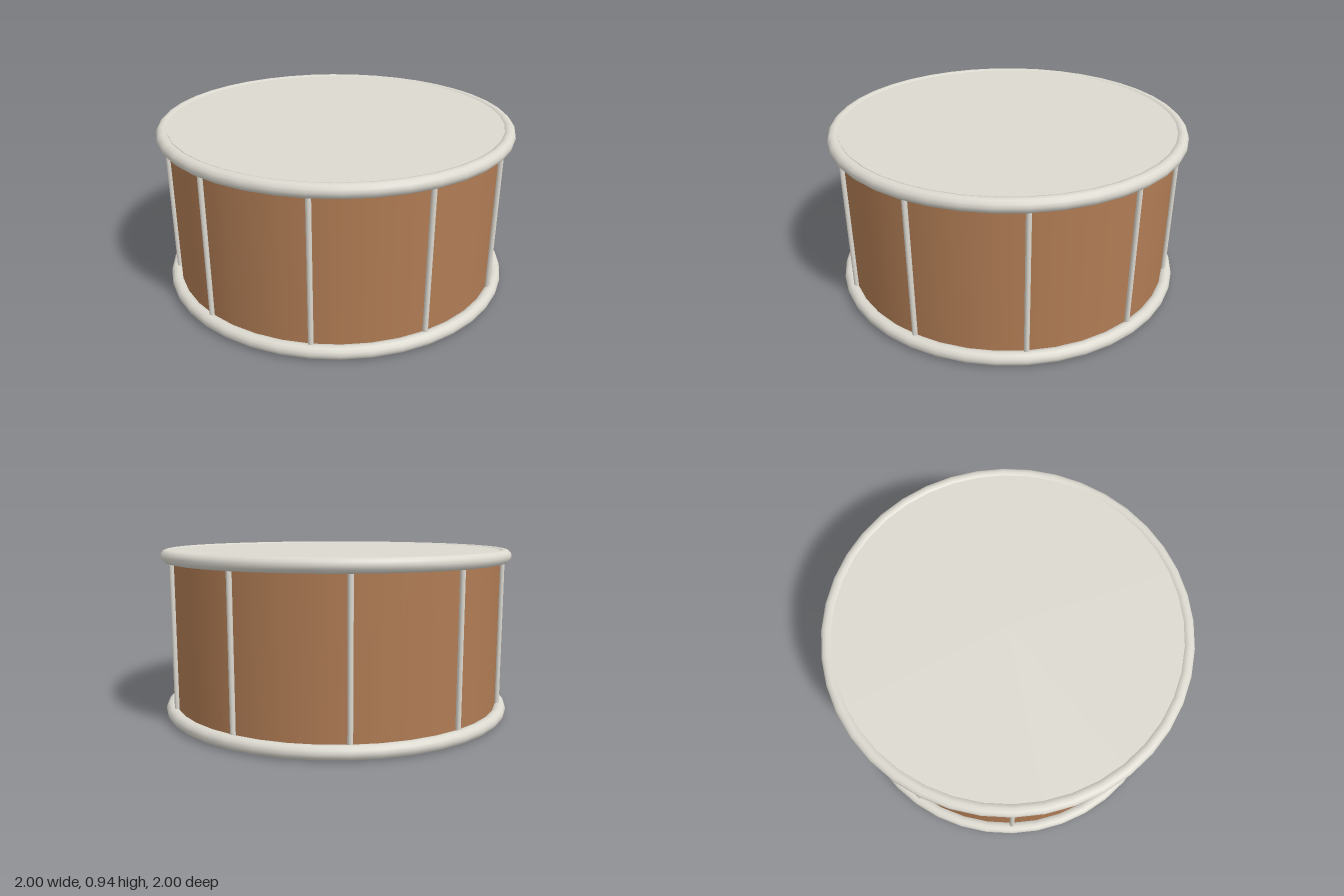
import * as THREE from 'three';

const wood = new THREE.MeshStandardMaterial({ name: 'brown wood', color: 0xb07c54 });
const pale = new THREE.MeshStandardMaterial({ name: 'pale grey', color: 0xdcd9d0 });

const SIDES = 40, SHELL_R = 0.94, HOOP_R = 0.963, HOOP_T = 0.037;
const LOW = 0.037, HIGH = 0.908; // hoop centre heights
const MID = (LOW + HIGH) / 2;

function add(parent, name, geometry, material, x = 0, y = 0, z = 0) {
  const mesh = new THREE.Mesh(geometry, material);
  mesh.name = name;
  mesh.position.set(x, y, z);
  parent.add(mesh);
  return mesh;
}

export function createModel() {
  const drum = new THREE.Group();
  drum.name = 'drum';

  // Wooden shell, closed by the two heads
  add(drum, 'shell', new THREE.CylinderGeometry(SHELL_R, SHELL_R, HIGH - LOW, SIDES, 1, true), wood, 0, MID);

  // Heads and rounded hoops, top and bottom
  const headGeo = new THREE.CylinderGeometry(SHELL_R, SHELL_R, 0.03, SIDES);
  const hoopGeo = new THREE.TorusGeometry(HOOP_R, HOOP_T, 12, SIDES).rotateX(Math.PI / 2);
  for (const [label, y, dir] of [['top', HIGH, 1], ['bottom', LOW, -1]]) {
    add(drum, label + 'Head', headGeo, pale, 0, y + dir * 0.015, 0);
    add(drum, label + 'Hoop', hoopGeo, pale, 0, y, 0);
  }

  // Ten tension rods around the shell
  const rodGeo = new THREE.CylinderGeometry(0.014, 0.014, HIGH - LOW, 10);
  const rods = new THREE.Group();
  rods.name = 'tensionRods';
  for (let i = 0; i < 10; i++) {
    const a = (i / 10) * Math.PI * 2;
    add(rods, 'tensionRod', rodGeo, pale, Math.cos(a) * 0.95, MID, Math.sin(a) * 0.95);
  }
  drum.add(rods);
  return drum;
}
